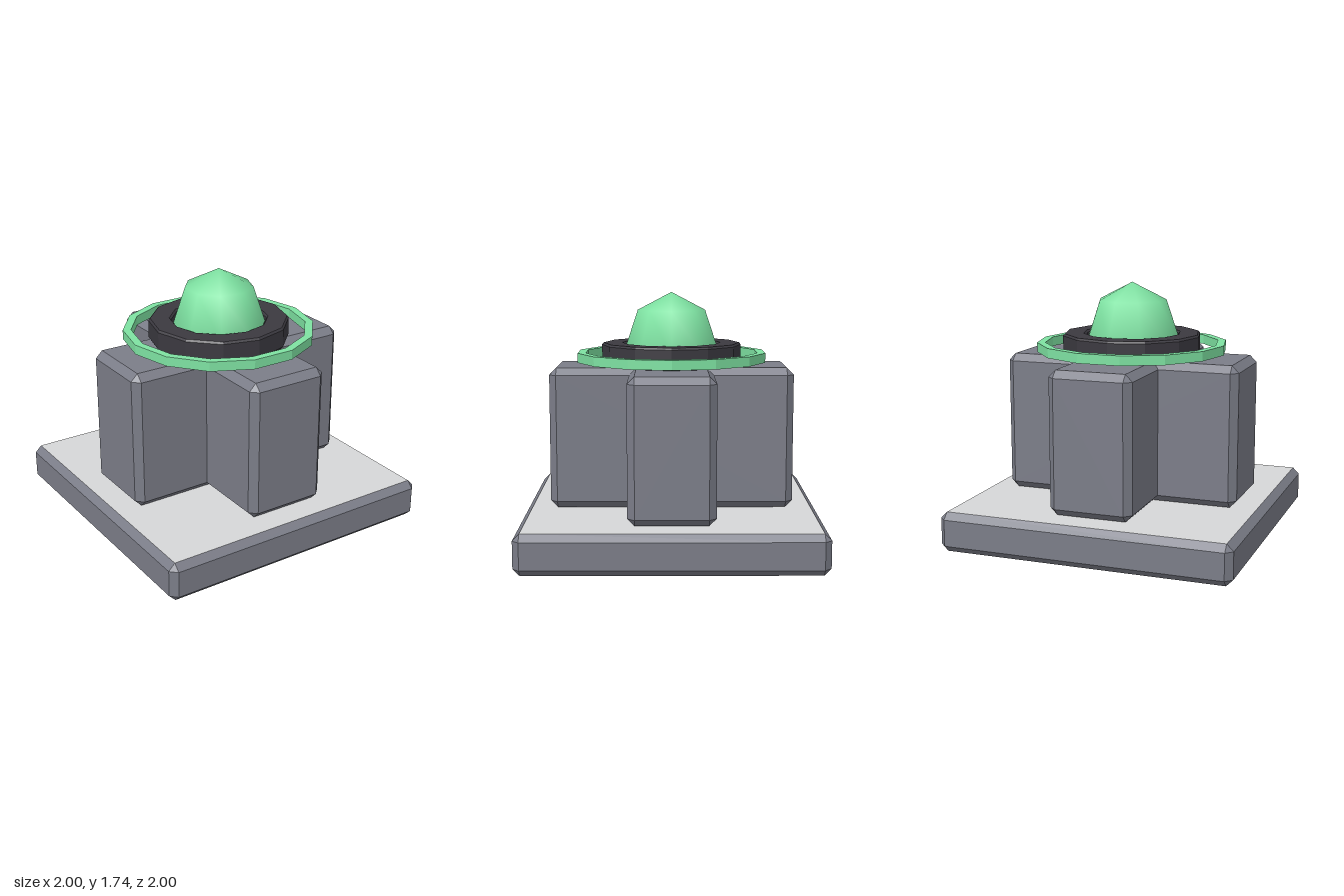
import * as THREE from 'three';
import { ConvexGeometry } from 'three/addons/geometries/ConvexGeometry.js';

// Box with every edge cut at 45 degrees, standing on y0
function chamferBox(w, h, d, c, y0) {
  const points = [];
  for (const sx of [-1, 1]) for (const sy of [-1, 1]) for (const sz of [-1, 1]) {
    const x = w / 2, y = h / 2, z = d / 2;
    for (const [px, py, pz] of [[x, y - c, z - c], [x - c, y, z - c], [x - c, y - c, z]]) {
      points.push(new THREE.Vector3(sx * px, sy * py + y0 + h / 2, sz * pz));
    }
  }
  return new ConvexGeometry(points);
}

// Faceted ring from a closed cross-section
function facetedRing(profile, sides) {
  const points = [...profile, profile[0]].map(([r, y]) => new THREE.Vector2(r, y));
  const geometry = new THREE.LatheGeometry(points, sides).toNonIndexed();
  geometry.computeVertexNormals();
  return geometry;
}

export function createModel() {
  const group = new THREE.Group();
  const material = (name, color) => {
    const m = new THREE.MeshStandardMaterial({ color });
    m.name = name;
    return m;
  };
  const stone = material('slate grey', 0x7b7d88);
  const pale = material('pale grey', 0xd6d7d8);
  const black = material('charcoal', 0x3b3940);
  const green = material('mint green', 0x7ee2a2);

  const add = (name, geometry, mat) => {
    const mesh = new THREE.Mesh(geometry, mat);
    mesh.name = name;
    group.add(mesh);
    return mesh;
  };

  // Base slab: pale top and bottom, slate rim
  const base = chamferBox(2, 0.27, 2, 0.045, 0);
  const normals = base.attributes.normal;
  for (let i = 0; i < normals.count; i += 3) {
    base.addGroup(i, 3, Math.abs(normals.getY(i)) > 0.99 ? 1 : 0);
  }
  add('baseSlab', base, [stone, pale]);

  // Cross-shaped pedestal from two crossing blocks
  add('pedestalBlockX', chamferBox(1.652, 0.96, 0.572, 0.048, 0.275), stone);
  add('pedestalBlockZ', chamferBox(0.572, 0.96, 1.652, 0.048, 0.275), stone);

  // Socket collar with bevelled rims
  add('collar', facetedRing([
    [0.468, 1.238], [0.48, 1.252], [0.48, 1.374], [0.468, 1.388],
    [0.338, 1.388], [0.326, 1.374], [0.326, 1.252], [0.338, 1.238],
  ], 12), black);

  // Floating halo
  add('halo', facetedRing([
    [0.656, 1.26], [0.656, 1.325], [0.6, 1.325], [0.6, 1.26],
  ], 14), green).rotation.y = Math.PI / 2;

  // Dome gem
  const dome = new THREE.SphereGeometry(0.332, 9, 2, 0, Math.PI * 2, 0, Math.PI / 2);
  dome.scale(1, 0.41 / 0.332, 1).rotateY(Math.PI);
  add('domeGem', dome, green).position.y = 1.325;

  return group;
}
